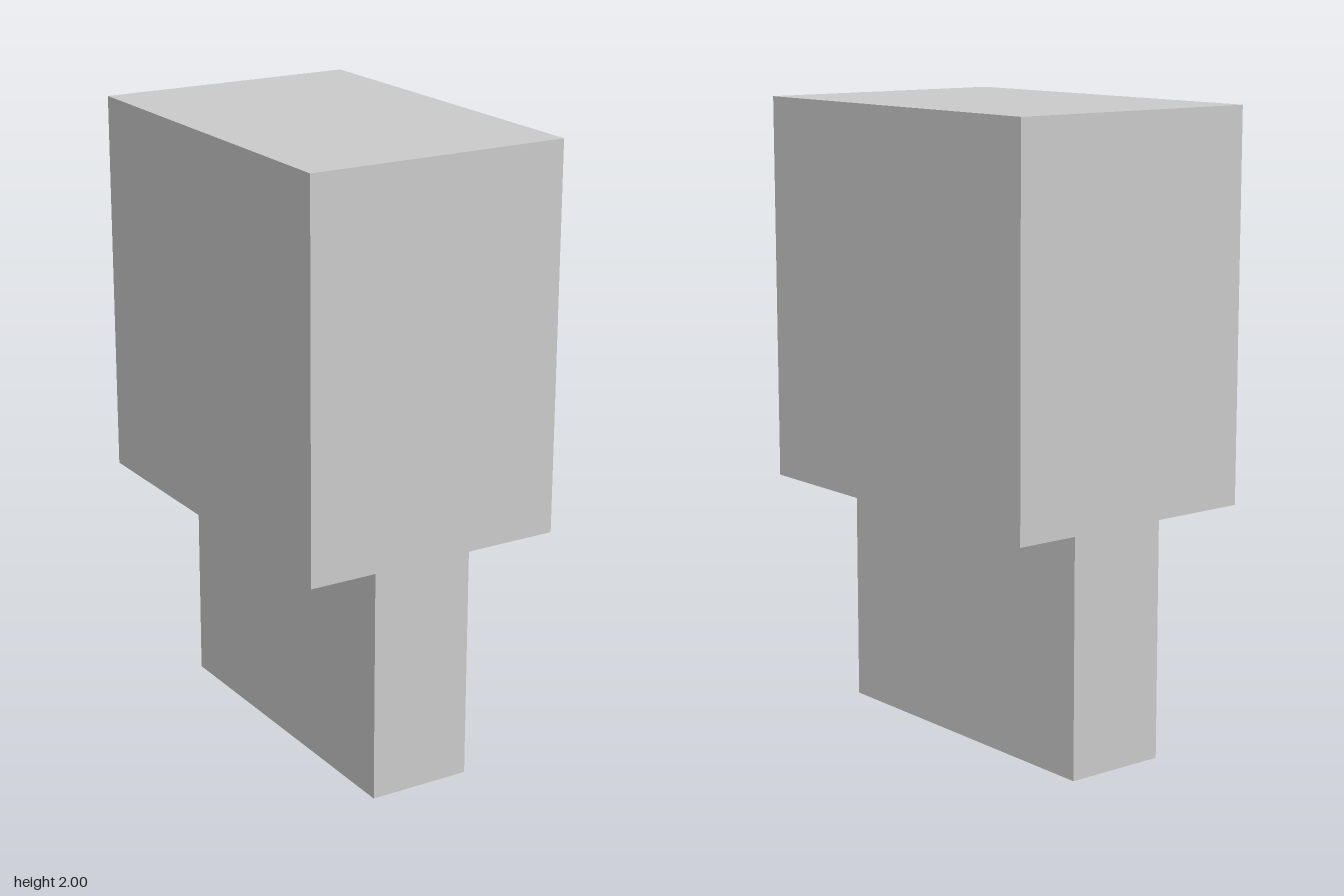
import * as THREE from 'three';

export function createModel() {
  const group = new THREE.Group();
  const material = new THREE.MeshStandardMaterial({ color: 0xcccccc, flatShading: true });

  // Adds a box centred on the vertical axis, spanning bottom to top
  function addBlock(name, width, depth, bottom, top) {
    const mesh = new THREE.Mesh(new THREE.BoxGeometry(width, top - bottom, depth), material);
    mesh.name = name;
    mesh.position.y = (bottom + top) / 2;
    group.add(mesh);
  }

  const seam = 0.777;
  addBlock('lowerBlock', 0.335, 1.11, 0, seam);
  addBlock('upperBlock', 0.853, 1.235, seam, 2);

  return group;
}
